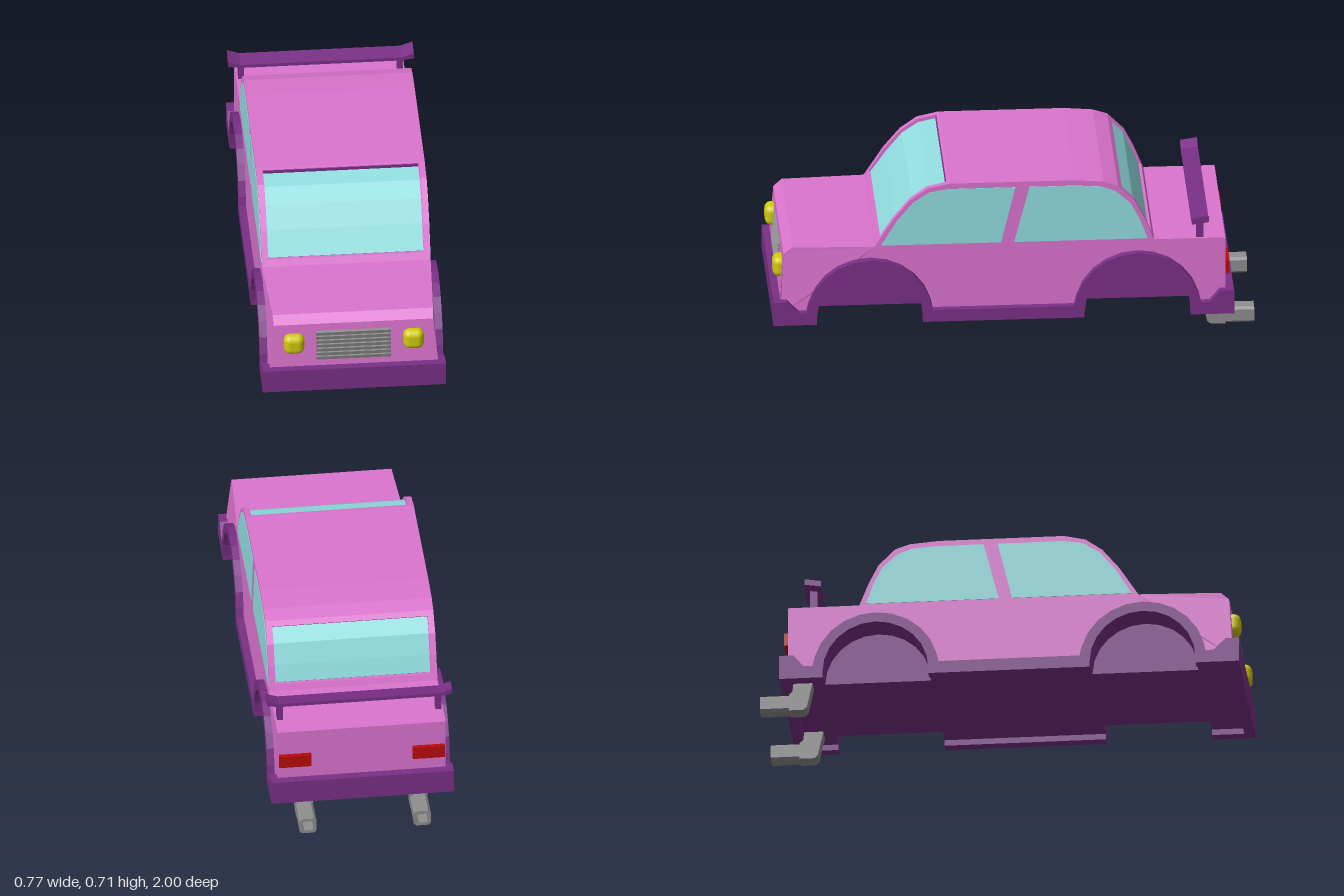
import * as THREE from 'three';
import { RoundedBoxGeometry } from 'three/addons/geometries/RoundedBoxGeometry.js';

const paint = (name, color) => Object.assign(new THREE.MeshStandardMaterial({ color }), { name });

// Extrude a (z, y) outline across the car from x0 to x1
function across(points, x0, x1) {
  const shape = new THREE.Shape(points.map(p => new THREE.Vector2(p[0], p[1])));
  const g = new THREE.ExtrudeGeometry(shape, { depth: x1 - x0, bevelEnabled: false });
  return g.rotateY(-Math.PI / 2).translate(x1, 0, 0);
}

// Half circle over a wheel, listed from rear to front
const WHEELS = [-0.51, 0.6];
function arch(c, r, base = 0.12, n = 12) {
  return Array.from({ length: n + 1 }, (_, i) => {
    const a = Math.PI * (1 - i / n);
    return [c + r * Math.cos(a), Math.max(base, 0.12 + r * Math.sin(a))];
  });
}

// Move vertices by a rule
function bend(g, rule) {
  const p = g.attributes.position, v = new THREE.Vector3();
  for (let i = 0; i < p.count; i++) {
    v.fromBufferAttribute(p, i);
    rule(v);
    p.setXYZ(i, v.x, v.y, v.z);
  }
  g.computeVertexNormals();
  return g;
}

export function createModel() {
  const car = new THREE.Group();
  car.name = 'car';
  const pink = paint('pink paint', 0xdc74cf);
  const purple = paint('purple trim', 0x7a2f86);
  const glass = paint('glass', 0x92dde0);
  const yellow = paint('headlight yellow', 0xd2ca0c);
  const red = paint('taillight red', 0xba0b0b);
  const grey = paint('grey metal', 0x8e8e8e);

  const add = (name, geometry, material) => {
    const m = new THREE.Mesh(geometry, material);
    m.name = name;
    car.add(m);
    return m;
  };
  const box = (name, mat, x0, x1, y0, y1, z0, z1) =>
    add(name, new THREE.BoxGeometry(x1 - x0, y1 - y0, z1 - z0)
      .translate((x0 + x1) / 2, (y0 + y1) / 2, (z0 + z1) / 2), mat);
  // The same piece on both sides
  const pair = (name, points, x0, x1, mat, rule = () => {}) => {
    add(name + 'Left', bend(across(points, x0, x1), rule), mat);
    add(name + 'Right', bend(across(points, -x1, -x0), rule), mat);
  };

  // Body: a core and side layers; the core is sunk where the screens sit
  const nose = [[0.97, 0.13], [0.97, 0.2], [0.955, 0.4], [0.92, 0.43], [0.58, 0.43]];
  const tail = [[-0.58, 0.43], [-0.875, 0.43], [-0.875, 0.13]];
  const roof = [[0.5, 0.555], [0.43, 0.64], [0.36, 0.69], [0.27, 0.71], [-0.25, 0.71],
    [-0.37, 0.7], [-0.43, 0.68], [-0.5, 0.61], [-0.54, 0.53]];
  const windscreen = [[0.55, 0.455], [0.485, 0.548], [0.42, 0.628], [0.353, 0.674], [0.28, 0.69]];
  const rearScreen = [[-0.44, 0.655], [-0.49, 0.605], [-0.528, 0.525], [-0.555, 0.455]];
  const sunkRoof = [[0.564, 0.455], ...windscreen, [0.28, 0.708], [0.27, 0.71], [-0.25, 0.71],
    [-0.37, 0.7], [-0.43, 0.68], [-0.447, 0.663], ...rearScreen, [-0.57, 0.455]];
  const cutouts = WHEELS.flatMap(c => arch(c, 0.225, 0.13));
  const clamp = THREE.MathUtils.clamp;
  const taper = v => {
    v.x *= 1 - 0.055 * clamp((v.z - 0.58) / 0.38, 0, 1) * clamp((v.y - 0.2) / 0.2, 0, 1);
  };
  add('bodyCore', bend(across([...nose, ...sunkRoof, ...tail], -0.25, 0.25), taper), pink);
  pair('bodyMiddle', [...nose, ...sunkRoof, ...tail, ...cutouts], 0.25, 0.325, pink, taper);
  pair('bodySide', [...nose, ...roof, ...tail, ...cutouts], 0.325, 0.35, pink, taper);

  // Curved front and rear screens
  const screen = (name, path, dz) => add(name, across([
    ...path.map(([z, y]) => [z + dz, y + 0.003]),
    ...path.map(([z, y]) => [z - dz, y - 0.003]).reverse()], -0.322, 0.322), glass);
  screen('windscreen', windscreen, 0.003);
  screen('rearScreen', rearScreen, -0.003);
  box('windscreenTopTrim', purple, -0.322, 0.322, 0.691, 0.705, 0.278, 0.284);

  // Side windows
  pair('frontWindow', [[0.552, 0.436], [0.487, 0.545], [0.42, 0.627], [0.35, 0.673], [0.27, 0.686],
    [-0.005, 0.686], [0.055, 0.436]], 0.346, 0.352, glass);
  pair('rearWindow', [[0, 0.436], [-0.063, 0.686], [-0.25, 0.686], [-0.36, 0.679], [-0.42, 0.656],
    [-0.482, 0.6], [-0.52, 0.527], [-0.553, 0.436]], 0.346, 0.352, glass);

  // Lower side trim: bumper ends, wheel arches and sill in one outline
  const [rear, front] = WHEELS;
  pair('sideTrim', [
    [1, 0.095], [1, 0.2], [0.945, 0.2], [0.895, 0.15],
    ...arch(front, 0.262, 0.148).reverse(), ...arch(rear, 0.262, 0.148).reverse(),
    [-0.81, 0.15], [-0.85, 0.2], [-0.91, 0.2], [-0.91, 0.095], [-0.73, 0.095],
    ...arch(rear, 0.22), [-0.29, 0.095], [0.38, 0.095],
    ...arch(front, 0.22), [0.82, 0.095]], 0.335, 0.38, purple);

  // Wheel wells
  for (const c of WHEELS) {
    pair('wellLiner', [...arch(c, 0.22), ...arch(c, 0.232).reverse()], 0.25, 0.337, purple);
    pair('wellWall', arch(c, 0.228), 0.245, 0.252, purple);
  }

  // Floor and bumpers
  box('floor', purple, -0.25, 0.25, 0.12, 0.14, -0.9, 0.99);
  for (const [z0, z1] of [[0.82, 0.99], [-0.29, 0.38], [-0.9, -0.73]]) {
    box('floorLeft', purple, 0.25, 0.36, 0.12, 0.14, z0, z1);
    box('floorRight', purple, -0.36, -0.25, 0.12, 0.14, z0, z1);
  }
  box('frontBumper', purple, -0.37, 0.37, 0.095, 0.2, 0.955, 1);
  box('rearBumper', purple, -0.37, 0.37, 0.095, 0.2, -0.91, -0.865);

  // Grille of slanted slats
  for (let i = 0; i < 7; i++) {
    const slat = add('grilleSlat', new THREE.BoxGeometry(0.31, 0.018, 0.014), grey);
    slat.position.set(0, 0.24 + i * 0.0193, 0.968 - i * 0.0014);
    slat.rotation.x = 0.25;
  }

  // Rear wing with raised tips
  const wing = new THREE.Shape([[-0.385, 0.538], [-0.335, 0.52], [0.335, 0.52], [0.385, 0.538],
    [0.385, 0.513], [0.335, 0.505], [-0.335, 0.505], [-0.385, 0.513]].map(p => new THREE.Vector2(...p)));
  const wingGeo = new THREE.ExtrudeGeometry(wing, { depth: 0.07, bevelEnabled: false }).translate(0, 0, -0.805);
  add('rearWing', bend(wingGeo, v => { v.y -= (v.z + 0.77) * 0.15; }), purple);

  // Square exhaust outline with a hollow
  const square = (path, r) => {
    const k = r * 0.7;
    return path.setFromPoints([[-k, -r], [k, -r], [r, -k], [r, k], [k, r], [-k, r], [-r, k], [-r, -k]]
      .map(p => new THREE.Vector2(...p)));
  };
  const pipe = square(new THREE.Shape(), 0.0355);
  pipe.holes.push(square(new THREE.Path(), 0.022));

  for (const s of [-1, 1]) {
    // Lamps
    add('headlight', new RoundedBoxGeometry(0.086, 0.09, 0.06, 3, 0.028), yellow).position.set(s * 0.248, 0.315, 0.967);
    box('taillight', red, s * 0.278 - 0.067, s * 0.278 + 0.067, 0.262, 0.318, -0.893, -0.87);
    // Wing posts
    box('wingPost', purple, s * 0.33 - 0.012, s * 0.33 + 0.012, 0.425, 0.512, -0.785, -0.755);
    // Exhaust
    const tip = new THREE.ExtrudeGeometry(pipe, { depth: 0.14, bevelEnabled: false });
    add('exhaustTip', tip, grey).position.set(s * 0.238, 0.0355, -1);
    add('exhaustElbow', across([[-0.78, 0.125], [-0.86, 0.125], [-0.865, 0.085], [-0.88, 0.071],
      [-0.88, 0], [-0.82, 0], [-0.805, 0.012]], s * 0.238 - 0.0355, s * 0.238 + 0.0355), grey);
  }
  return car;
}
